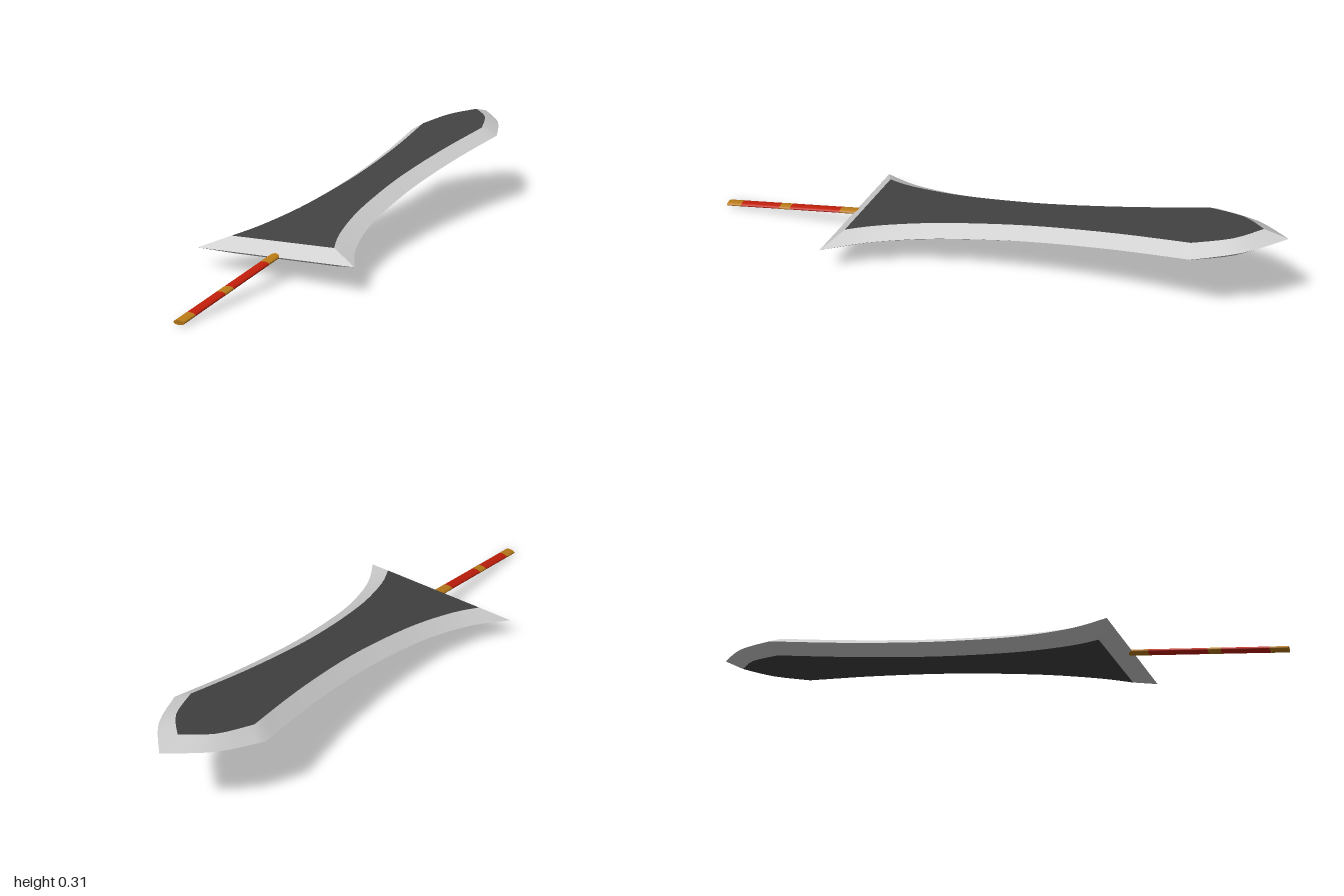
import * as THREE from 'three';
import { toCreasedNormals } from 'three/addons/utils/BufferGeometryUtils.js';

const THICK = 0.031; // half thickness of the blade

const material = (name, color) => {
  const m = new THREE.MeshStandardMaterial({ color });
  m.name = name;
  return m;
};

// Closed counter-clockwise outline, mirrored from the right half (flank, then tip)
function outline(flank, tip) {
  const sample = (pts, n) =>
    new THREE.SplineCurve(pts.map(([x, y]) => new THREE.Vector2(x, y))).getPoints(n);
  const right = [...sample(flank, 24), ...sample(tip, 8).slice(1)];
  const left = right.slice(0, -1).reverse().map(p => new THREE.Vector2(-p.x, p.y));
  return [...right, ...left];
}

// Sloped faces joining the sharp outer edge to the flat on both sides
function bevelGeometry(outer, inner) {
  const pos = [];
  const quad = (a, b, c, d) => [a, b, c, a, c, d].forEach(p => pos.push(...p));
  for (let i = 0; i < outer.length; i++) {
    const j = (i + 1) % outer.length;
    const at = (p, z) => [p.x, p.y, z];
    const a = at(outer[i], 0), b = at(outer[j], 0);
    quad(a, b, at(inner[j], THICK), at(inner[i], THICK));
    quad(b, a, at(inner[i], -THICK), at(inner[j], -THICK));
  }
  const geo = new THREE.BufferGeometry();
  geo.setAttribute('position', new THREE.Float32BufferAttribute(pos, 3));
  return toCreasedNormals(geo, 0.35);
}

export function createModel() {
  const steel = material('light steel', 0xcccccc);
  const dark = material('dark steel', 0x424242);
  const red = material('red wrap', 0xc01e0a);
  const gold = material('gold', 0xb97a18);

  const sword = new THREE.Group();
  sword.name = 'sword';
  const add = (name, geo, mat) => {
    const mesh = new THREE.Mesh(geo, mat);
    mesh.name = name;
    sword.add(mesh);
    return mesh;
  };

  // Blade: sharp edge outline and inset flat outline
  const outer = outline(
    [[0.298, 0], [0.222, 0.142], [0.167, 0.335], [0.144, 0.54], [0.137, 0.74], [0.15, 1.0], [0.18, 1.26]],
    [[0.18, 1.26], [0.111, 1.413], [0, 1.537]]);
  const inner = outline(
    [[0.196, 0.055], [0.152, 0.16], [0.11, 0.335], [0.088, 0.54], [0.082, 0.74], [0.096, 1.0], [0.125, 1.25]],
    [[0.125, 1.25], [0.077, 1.375], [0, 1.458]]);
  add('bladeEdge', bevelGeometry(outer, inner), steel);
  const flat = new THREE.ShapeGeometry(new THREE.Shape(inner));
  add('bladeFlatTop', flat, dark).position.z = THICK;
  const under = add('bladeFlatUnder', flat, dark);
  under.position.z = -THICK;
  under.rotation.y = Math.PI;

  // Handle: flattened grip in alternating gold and red sections
  const sections = [
    ['collar', 0.03, -0.055, gold], ['upperGrip', -0.055, -0.253, red],
    ['middleBand', -0.253, -0.296, gold], ['lowerGrip', -0.296, -0.453, red],
    ['pommel', -0.453, -0.511, gold],
  ];
  for (const [name, top, bottom, mat] of sections) {
    const r = mat === gold ? 0.0195 : 0.019;
    const part = add(name, new THREE.CylinderGeometry(r, r, top - bottom, 24), mat);
    part.scale.z = 0.4;
    part.position.y = (top + bottom) / 2;
  }

  // Lay the sword down: local x is blade width, y runs to the tip, z is the upper face
  const along = new THREE.Vector3(-0.178, 0.139, -0.974).normalize();
  const face = new THREE.Vector3(0.983, 0.039, -0.176).cross(along).normalize();
  const across = along.clone().cross(face);
  sword.quaternion.setFromRotationMatrix(new THREE.Matrix4().makeBasis(across, along, face));
  sword.position.set(0.055, 0.0795, 0.4975);

  const model = new THREE.Group();
  model.name = 'model';
  model.add(sword);
  return model;
}
